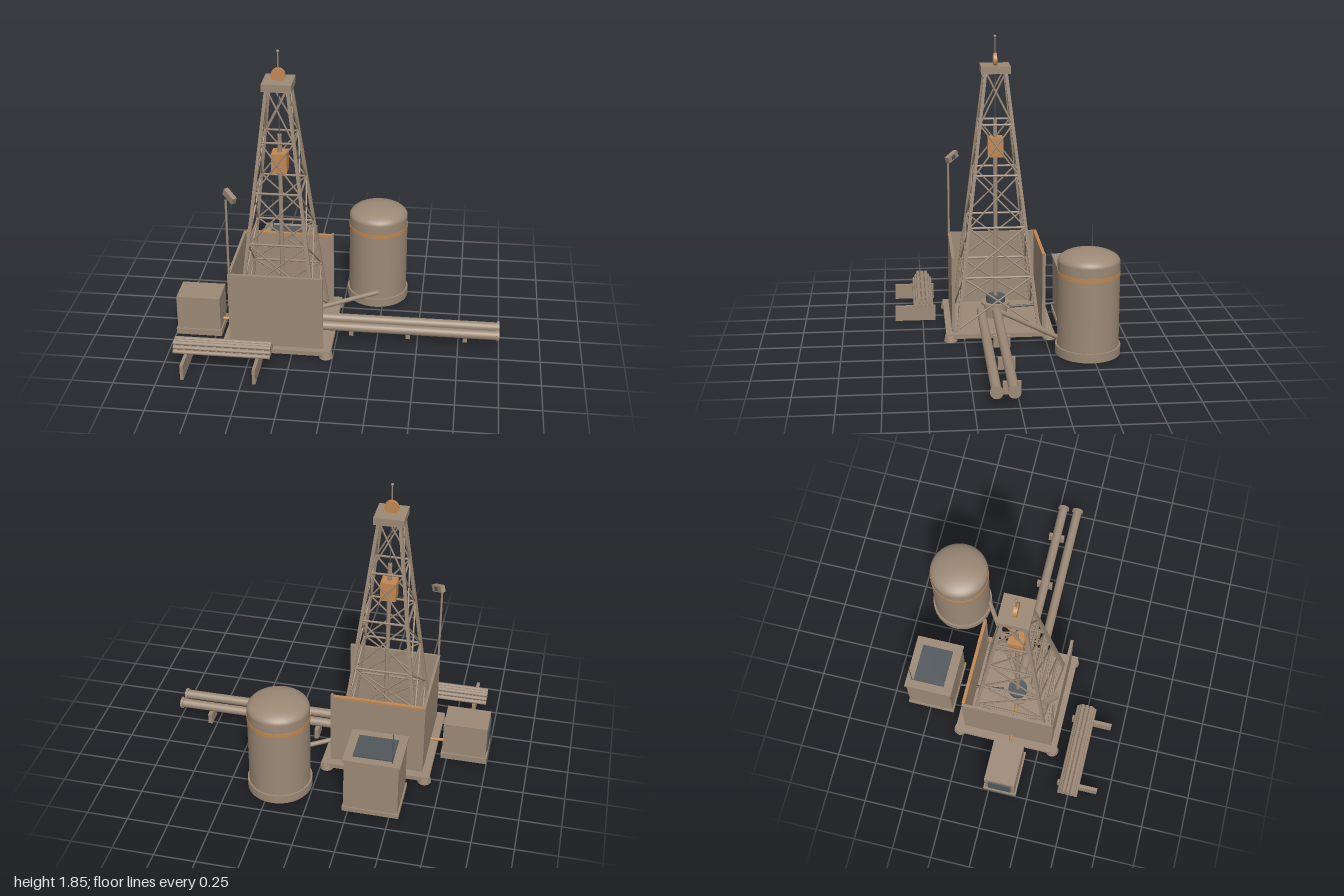
import * as THREE from 'three';

const mat = (name, color, side = THREE.FrontSide) => {
  const m = new THREE.MeshStandardMaterial({ color, side });
  m.name = name;
  return m;
};

export function createModel() {
  const root = new THREE.Group();
  root.name = 'drillingRig';
  const steel = mat('dusty steel', 0x9c8976);
  const orange = mat('safety orange', 0xc08750);
  const dark = mat('dark panel', 0x50575b);
  const CX = -0.345, CZ = 0.035; // tower axis

  const add = (name, geo, m, x = 0, y = 0, z = 0, parent = root) => {
    const mesh = new THREE.Mesh(geo, m);
    mesh.name = name;
    mesh.position.set(x, y, z);
    parent.add(mesh);
    return mesh;
  };
  // box given by its extents
  const box = (name, m, x0, x1, y0, y1, z0, z1) =>
    add(name, new THREE.BoxGeometry(x1 - x0, y1 - y0, z1 - z0), m, (x0 + x1) / 2, (y0 + y1) / 2, (z0 + z1) / 2);
  // upright cylinder between two heights
  const drum = (name, m, x, z, y0, y1, r0, r1 = r0, seg = 24) =>
    add(name, new THREE.CylinderGeometry(r1, r0, y1 - y0, seg), m, x, (y0 + y1) / 2, z);
  // bar between two points; four sides gives a square section
  const bar = (name, m, a, b, r, seg = 12) => {
    const p = new THREE.Vector3(...a), q = new THREE.Vector3(...b);
    const d = q.clone().sub(p);
    const geo = new THREE.CylinderGeometry(r, r, d.length(), seg);
    if (seg === 4) geo.rotateY(Math.PI / 4);
    const mesh = add(name, seg === 4 ? geo.toNonIndexed() : geo, m);
    if (seg === 4) mesh.geometry.computeVertexNormals();
    mesh.position.copy(p).add(q).multiplyScalar(0.5);
    mesh.quaternion.setFromUnitVectors(new THREE.Vector3(0, 1, 0), d.normalize());
    return mesh;
  };

  // Deck on four flared feet
  box('deck', steel, -0.68, -0.01, 0.02, 0.048, -0.303, 0.363);
  for (const sx of [-1, 1]) for (const sz of [-1, 1]) {
    drum('foot', steel, CX + sx * 0.305, 0.03 + sz * 0.305, 0, 0.04, 0.042, 0.034);
    box('legPad', steel, CX + sx * 0.265 - 0.018, CX + sx * 0.265 + 0.018, 0.048, 0.056,
      CZ + sz * 0.265 - 0.018, CZ + sz * 0.265 + 0.018);
  }

  // Wind walls on three sides, open on the left
  box('frontWall', steel, -0.632, -0.06, 0.048, 0.527, 0.307, 0.325);
  box('sideWall', steel, -0.632, -0.616, 0.048, 0.527, -0.25, 0.307);
  box('backWall', steel, -0.632, -0.06, 0.048, 0.52, -0.25, -0.236);
  box('backWallTrim', orange, -0.616, -0.07, 0.52, 0.532, -0.253, -0.233);
  box('wallPost', steel, -0.072, -0.058, 0.048, 0.54, -0.253, -0.233);

  // Derrick: tapering legs, rings and cross braces
  const half = (y) => 0.25 - (y - 0.05) * 0.119;
  const corners = [[-1, -1], [1, -1], [1, 1], [-1, 1]];
  const at = (c, y) => [CX + c[0] * half(y), y, CZ + c[1] * half(y)];
  const levels = [0.05, 0.37, 0.68, 1.0, 1.31, 1.63];
  corners.forEach((c, i) => {
    const n = corners[(i + 1) % 4];
    bar('derrickLeg', steel, at(c, 0.05), at(c, 1.63), 0.014, 4);
    for (let k = 0; k < levels.length - 1; k++) {
      const lo = levels[k], hi = levels[k + 1];
      bar('derrickBrace', steel, at(c, lo), at(n, hi), 0.0055, 6);
      bar('derrickBrace', steel, at(n, lo), at(c, hi), 0.0055, 6);
      if (k > 0) bar('derrickRing', steel, at(c, lo), at(n, lo), 0.007, 6);
    }
  });

  // Crown with sheave and beacon mast
  box('crownPlate', steel, CX - 0.088, CX + 0.088, 1.62, 1.665, CZ - 0.09, CZ + 0.09);
  add('crownSheave', new THREE.CylinderGeometry(0.042, 0.042, 0.022, 28).rotateX(Math.PI / 2), orange, CX, 1.695, CZ);
  drum('beaconMast', steel, CX, CZ, 1.665, 1.84, 0.004, 0.004, 8);
  add('beacon', new THREE.SphereGeometry(0.009, 12, 8), steel, CX, 1.838, CZ);

  // Drill string, cable, travelling block
  drum('drillPipe', steel, CX, CZ, 0.05, 1.325, 0.013);
  drum('hoistCable', dark, CX, CZ, 1.325, 1.62, 0.0035, 0.0035, 6);
  box('travellingBlock', orange, CX - 0.047, CX + 0.047, 1.095, 1.215, CZ - 0.047, CZ + 0.047);

  // Wellhead
  drum('wellheadBody', steel, CX, CZ, 0.048, 0.125, 0.075);
  drum('wellheadFlange', steel, CX, CZ, 0.125, 0.142, 0.09);
  drum('wellheadCap', dark, CX, CZ, 0.142, 0.182, 0.06);

  // Outgoing pipeline pair
  for (const z of [0.033, 0.13]) {
    bar('outletPipe', steel, [-0.3, 0.095, z], [0.99, 0.095, z], 0.029, 24);
    bar('outletFlange', steel, [0.984, 0.095, z], [1, 0.095, z], 0.037, 24);
  }
  for (const x of [0.087, 0.44, 0.793])
    box('pipelineSupport', steel, x - 0.013, x + 0.013, 0, 0.072, -0.022, 0.082);

  // Storage tank with domed top and feed line
  const TX = 0.205, TZ = -0.48;
  drum('tankBase', steel, TX, TZ, 0, 0.055, 0.197, 0.197, 40);
  drum('tankBody', steel, TX, TZ, 0.055, 0.575, 0.186, 0.186, 40);
  drum('tankBand', orange, TX, TZ, 0.492, 0.517, 0.1885, 0.1885, 40);
  const dome = new THREE.SphereGeometry(0.186, 40, 12, 0, Math.PI * 2, 0, Math.PI / 2);
  add('tankDome', dome.scale(1, 0.07 / 0.186, 1), steel, TX, 0.575, TZ);
  bar('tankFeedPipe', steel, [0.22, 0.1, -0.3], [CX + 0.05, 0.1, CZ], 0.015, 16);

  // Control cabinet behind the walls
  box('cabinetBase', steel, -0.556, -0.214, 0, 0.03, -0.648, -0.348);
  box('cabinet', steel, -0.547, -0.222, 0.03, 0.37, -0.64, -0.356);
  box('cabinetRoof', steel, -0.556, -0.214, 0.37, 0.385, -0.648, -0.348);
  box('cabinetRoofPanel', dark, -0.505, -0.268, 0.385, 0.394, -0.6, -0.405);
  box('cabinetDoor', steel, -0.222, -0.216, 0.06, 0.33, -0.56, -0.45);
  drum('cabinetAntenna', dark, -0.505, -0.61, 0.385, 0.59, 0.003, 0.003, 6);
  bar('cabinetCable', dark, [-0.39, 0.1, -0.35], [CX, 0.1, CZ - 0.05], 0.008, 8);

  // Generator with dark grille and fuel line
  box('generatorBase', steel, -0.998, -0.712, 0, 0.04, -0.035, 0.177);
  box('generator', steel, -0.99, -0.72, 0.04, 0.26, -0.025, 0.167);
  box('generatorGrille', dark, -0.998, -0.99, 0.075, 0.23, -0.002, 0.144);
  bar('fuelLine', orange, [-0.72, 0.065, 0.067], [CX, 0.065, 0.04], 0.01, 10);

  // Pipe rack with a stack of spare drill pipes
  for (const x of [-0.855, -0.425])
    box('rackSupport', steel, x - 0.01, x + 0.01, 0, 0.098, 0.417, 0.675);
  [5, 4, 3].forEach((n, row) => {
    for (let i = 0; i < n; i++) {
      const z = 0.495 + (i - (n - 1) / 2) * 0.026, y = 0.111 + row * 0.0225;
      bar('sparePipe', steel, [-0.932, y, z], [-0.348, y, z], 0.0125, 12);
    }
  });

  // Floodlight on a corner mast, turned toward the tower
  drum('floodlightMast', steel, -0.622, 0.318, 0.048, 1.02, 0.007, 0.007, 10);
  const lamp = new THREE.Group();
  lamp.name = 'floodlight';
  lamp.position.set(-0.602, 1.035, 0.295);
  lamp.rotation.set(0, -Math.PI / 4, -0.38, 'YXZ');
  add('floodlightHousing', new THREE.BoxGeometry(0.095, 0.042, 0.03), steel, 0, 0, 0, lamp);
  add('floodlightLens', new THREE.BoxGeometry(0.03, 0.024, 0.006), dark, 0, 0, -0.016, lamp);
  root.add(lamp);

  return root;
}
